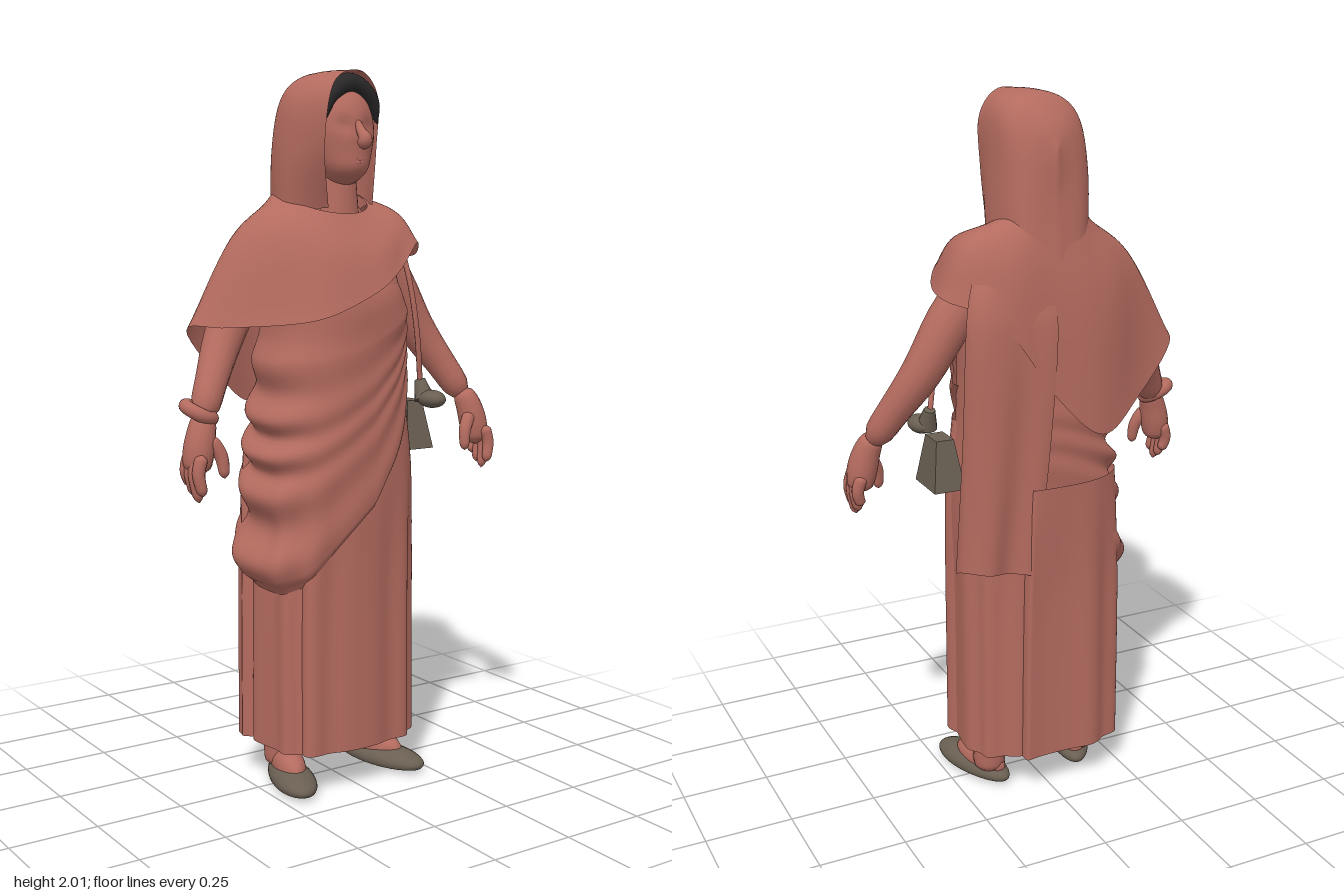
import * as THREE from 'three';
import { mergeVertices } from 'three/addons/utils/BufferGeometryUtils.js';

const V = (x, y, z) => new THREE.Vector3(x, y, z);
const mix = THREE.MathUtils.lerp;
const clamp = THREE.MathUtils.clamp;
const bell = (d, w) => Math.exp(-(d * d) / (w * w));

// Smooth lookup in rows keyed by their first number
function track(rows, t) {
  const n = rows.length - 1;
  let i = 0;
  while (i < n - 1 && t > rows[i + 1][0]) i++;
  const h = rows[i + 1][0] - rows[i][0];
  const s = clamp((t - rows[i][0]) / h, 0, 1);
  const slope = (k, c) => {
    const a = rows[Math.max(k - 1, 0)], b = rows[Math.min(k + 1, n)];
    return (b[c] - a[c]) / (b[0] - a[0]);
  };
  const s2 = s * s, s3 = s2 * s;
  return rows[i].map((_, c) => (2 * s3 - 3 * s2 + 1) * rows[i][c] + (s3 - 2 * s2 + s) * h * slope(i, c)
    + (3 * s2 - 2 * s3) * rows[i + 1][c] + (s3 - s2) * h * slope(i + 1, c));
}

// Smooth surface from fn(u, v) -> Vector3
function surface(fn, nu, nv) {
  const pos = [], idx = [];
  for (let j = 0; j <= nv; j++) for (let i = 0; i <= nu; i++) pos.push(...fn(i / nu, j / nv).toArray());
  for (let j = 0; j < nv; j++) for (let i = 0; i < nu; i++) {
    const a = j * (nu + 1) + i, d = a + nu + 1;
    idx.push(a, a + 1, d + 1, a, d + 1, d);
  }
  let g = new THREE.BufferGeometry();
  g.setAttribute('position', new THREE.Float32BufferAttribute(pos, 3));
  g.setIndex(idx);
  g = mergeVertices(g, 1e-5);
  g.computeVertexNormals();
  return g;
}

// Surface through several curves
function loft(loops, closed, nu, nv) {
  const curves = loops.map(l => new THREE.CatmullRomCurve3(l.map(p => V(...p)), closed, 'catmullrom', 0.5));
  const ribs = [];
  for (let i = 0; i <= nu; i++) {
    const u = closed ? (i % nu) / nu : i / nu;
    ribs.push(new THREE.CatmullRomCurve3(curves.map(c => c.getPoint(u))));
  }
  return surface((u, v) => ribs[Math.round(u * nu)].getPoint(v), nu, nv);
}

// Round limb through [x, y, z, radius] points, with rounded ends
function limb(pts, nu = 14, nv = 18) {
  const curve = new THREE.CatmullRomCurve3(pts.map(p => V(p[0], p[1], p[2])));
  const radii = pts.map((p, i) => [i / (pts.length - 1), p[3]]);
  return surface((u, v) => {
    const t = curve.getTangent(v), a = t.clone().cross(V(0, 0, 1)).normalize(), b = t.clone().cross(a);
    const end = Math.min(1, Math.sqrt(Math.max(0, Math.min(v, 1 - v)) * 8));
    const r = track(radii, v)[1] * end, ang = u * Math.PI * 2;
    return curve.getPoint(v).addScaledVector(a, r * Math.cos(ang)).addScaledVector(b, r * Math.sin(ang));
  }, nu, nv);
}

// Body sections: height, centre x, centre z, half width, half depth, squareness
const BODY = [
  [0.11, -0.005, 0, 0.222, 0.16, 3.2], [0.6, -0.005, 0, 0.222, 0.162, 3], [0.9, 0, 0, 0.218, 0.172, 2.7],
  [1.1, 0, 0, 0.197, 0.174, 2.5], [1.25, 0, 0.003, 0.19, 0.175, 2.4], [1.4, 0, 0.005, 0.188, 0.183, 2.2],
  [1.52, 0, -0.02, 0.175, 0.135, 2.1], [1.6, 0, -0.03, 0.13, 0.095, 2], [1.66, 0, -0.02, 0.07, 0.07, 2],
];
function body(deg, y, off = 0) {
  const [, cx, cz, rx, rz, n] = track(BODY, y);
  const a = deg * Math.PI / 180, s = Math.sin(a), c = Math.cos(a);
  const pleat = 0.006 * Math.cos(a * 11) * clamp((0.95 - y) * 3, 0, 1);
  const p = q => Math.sign(q) * Math.abs(q) ** (2 / n);
  return V(cx + (rx + off + pleat) * p(s), y, cz + (rz + off + pleat) * p(c));
}

// Lower edge of the wrapped drape by angle, and fold count by height along it
const EDGE = [[-260, 1.15], [-220, 0.95], [-180, 0.8], [-130, 0.66], [-90, 0.57], [-50, 0.585], [-30, 0.62],
  [-5, 0.73], [10, 0.86], [30, 0.99], [50, 1.11], [80, 1.2]];
const FOLDS = [[0, -0.45], [0.1, 0], [0.32, 1], [0.45, 2], [0.57, 3], [0.75, 4], [1, 5]];

// Shawl loops, starting at the front and turning toward +x
const HEM = [[0, 1.395, 0.207], [0.1, 1.455, 0.187], [0.2, 1.535, 0.135], [0.272, 1.5, 0.03], [0.285, 1.48, -0.1],
  [0.16, 1.42, -0.187], [0, 1.2, -0.197], [-0.14, 1.08, -0.195], [-0.27, 1.15, -0.15], [-0.42, 1.3, -0.08],
  [-0.35, 1.31, 0.04], [-0.17, 1.33, 0.185]];
const SHOULDER = [[0, 1.5, 0.172], [0.1, 1.55, 0.15], [0.175, 1.605, 0.085], [0.222, 1.625, -0.02], [0.215, 1.62, -0.11],
  [0.12, 1.57, -0.168], [0, 1.5, -0.18], [-0.12, 1.48, -0.18], [-0.21, 1.53, -0.14], [-0.275, 1.57, -0.05],
  [-0.225, 1.57, 0.06], [-0.12, 1.52, 0.145]];
const NECKLINE = SHOULDER.map((_, i) => {
  const a = i * Math.PI / 6;
  return [-0.018 + 0.128 * Math.sin(a), 1.665 - 0.05 * Math.cos(a), -0.02 + 0.125 * Math.cos(a)];
});

// Hood arches from the face opening to the back
const HOOD = [
  [[-0.075, 1.63, 0.1], [-0.12, 1.78, 0.15], [-0.115, 1.92, 0.167], [-0.05, 1.985, 0.125], [0.04, 1.997, 0.1],
    [0.1, 1.93, 0.085], [0.105, 1.8, 0.07], [0.085, 1.64, 0.08]],
  [[-0.155, 1.62, 0], [-0.16, 1.78, 0.02], [-0.14, 1.92, 0.02], [-0.07, 1.99, 0.01], [0.03, 2, 0],
    [0.1, 1.95, 0], [0.115, 1.8, 0], [0.12, 1.64, 0]],
  [[-0.14, 1.6, -0.09], [-0.145, 1.78, -0.08], [-0.125, 1.92, -0.07], [-0.07, 1.982, -0.06], [0.025, 1.988, -0.065],
    [0.09, 1.93, -0.075], [0.105, 1.78, -0.085], [0.11, 1.6, -0.1]],
  [[-0.1, 1.58, -0.15], [-0.1, 1.76, -0.135], [-0.085, 1.87, -0.125], [-0.05, 1.925, -0.12], [0.015, 1.93, -0.12],
    [0.055, 1.87, -0.125], [0.07, 1.76, -0.135], [0.075, 1.58, -0.155]],
  [1.57, 1.72, 1.81, 1.85, 1.85, 1.81, 1.72, 1.57].map(y => [-0.016, y, y < 1.6 ? -0.172 : -0.155]),
];

export function createModel() {
  const model = new THREE.Group();
  const material = (name, color) => new THREE.MeshStandardMaterial({ name, color, side: THREE.DoubleSide });
  const clay = material('terracotta', 0xb46b5f);
  const taupe = material('taupe', 0x6a5f52);
  const dark = material('charcoal', 0x2a2829);
  const add = (name, geo, mat = clay, parent = model) => {
    const m = new THREE.Mesh(geo, mat);
    m.name = name;
    parent.add(m);
    return m;
  };

  // Dress and overlapping skirt panels
  add('dress', surface((u, v) => body(u * 360, mix(0.11, 1.66, v)), 96, 50));
  const panel = (name, a, b, top, off) => add(name, surface((u, v) =>
    body(mix(a, b, u), mix(0.11, top, v), off * Math.min(1, u * 30, (1 - u) * 30)), 48, 16));
  panel('frontSkirtPanel', -45, 80, 1.1, 0.009);
  panel('backSkirtPanel', 165, 250, 0.95, 0.032);

  // Diagonal drape gathered on the right hip
  add('wrappedDrape', surface((u, v) => {
    const deg = mix(-260, 80, u), low = track(EDGE, deg)[1];
    const gather = 0.004 + mix(0.05, 0.03, Math.min(1, v * 3)) * bell(deg + 92, 42);
    const fold = gather * Math.cos(Math.PI * track(FOLDS, v)[1]) ** 2 * clamp((1 - v) * 2.5, 0, 1);
    const fade = Math.min(1, v * 30, (1 - v) * 4, u * 30 + 0.1);
    return body(deg, mix(low, 1.42, v), (0.014 + fold) * fade);
  }, 110, 80));

  // Shawl, hood and cloth falling down the back
  add('shawl', loft([HEM, SHOULDER, NECKLINE], true, 84, 24));
  add('hood', loft(HOOD, false, 48, 36));
  const FALL = [[0.7, 0.3, 0.06, -0.188], [1.1, 0.275, 0.02, -0.194], [1.4, 0.26, 0, -0.192],
    [1.5, 0.24, 0.01, -0.172], [1.58, 0.2, 0.03, -0.14]];
  add('hangingCloth', surface((u, v) => {
    const y = mix(0.735 - 0.04 * u, 1.58, v), [, right, left, z] = track(FALL, y);
    return V(mix(right, left, u), y, z + 0.008 * Math.sin(u * 12) * (1 - v) + 0.02 * bell(u, 0.15));
  }, 36, 30));

  // Head with eye hollows and a narrowed jaw
  const head = new THREE.SphereGeometry(1, 40, 32);
  const hp = head.attributes.position;
  for (let i = 0; i < hp.count; i++) {
    const x = hp.getX(i), y = hp.getY(i), z = hp.getZ(i);
    const jaw = y < 0 ? 1 + 0.15 * y : 1;
    const hollow = z > 0 ? 0.012 * (bell(x - 0.38, 0.22) + bell(x + 0.38, 0.22)) * bell(y - 0.12, 0.14) : 0;
    const chin = z > 0 ? 0.025 * bell(y + 0.75, 0.3) : 0;
    hp.setXYZ(i, x * 0.1 * jaw, 1.832 + y * 0.145, 0.03 + z * 0.108 - hollow + chin);
  }
  head.computeVertexNormals();
  add('head', head);
  add('neck', new THREE.CylinderGeometry(0.058, 0.075, 0.2, 24).translate(0, 1.65, 0.015));
  add('nose', limb([[0, 1.868, 0.125, 0.008], [0, 1.835, 0.146, 0.013], [0, 1.81, 0.168, 0.019], [0, 1.798, 0.145, 0.018]]));
  for (const y of [1.75, 1.76]) {
    add('lip', new THREE.SphereGeometry(1, 14, 10).scale(0.022, 0.006, 0.01).translate(0, y, 0.127));
  }
  add('hairBand', limb([[-0.088, 1.86, 0.1, 0.008], [-0.072, 1.925, 0.1, 0.021], [0, 1.967, 0.088, 0.027],
    [0.07, 1.93, 0.085, 0.023], [0.1, 1.86, 0.08, 0.01]], 14, 28), dark);

  for (const side of [1, -1]) {
    const limbGroup = new THREE.Group();
    limbGroup.name = side > 0 ? 'leftArm' : 'rightArm';
    model.add(limbGroup);
    const dz = side > 0 ? 0 : 0.04;
    const part = (name, pts) => add(name, limb(pts.map(([x, y, z, r]) =>
      [side * x, y, z + dz * clamp((1.4 - y) * 4, 0, 1), r])), clay, limbGroup);

    // Sleeve, palm, fingers and thumb
    part('sleeve', [[0.15, 1.54, -0.05, 0.055], [0.245, 1.43, -0.055, 0.063], [0.335, 1.28, -0.045, 0.055],
      [0.41, 1.16, -0.005, 0.044], [0.462, 1.065, 0.035, 0.04]]);
    part('palm', [[0.445, 1.1, 0.03, 0.028], [0.465, 1.05, 0.045, 0.038], [0.48, 0.99, 0.052, 0.042], [0.488, 0.93, 0.055, 0.034]]);
    for (let k = 0; k < 4; k++) {
      const z = 0.022 + k * 0.023, tip = [0.9, 0.875, 0.86, 0.88][k];
      part('finger', [[0.49, 0.99, z, 0.018], [0.503, 0.94, z + 0.003, 0.017], [0.492, tip, z + 0.008, 0.014]]);
    }
    part('thumb', [[0.455, 1.03, 0.065, 0.02], [0.427, 0.98, 0.078, 0.018], [0.42, 0.92, 0.086, 0.013]]);

    // Leg, instep and shoe
    add('leg', limb([[side * 0.12, 0.5, -0.02, 0.075], [side * 0.14, 0.2, -0.04, 0.058],
      [side * 0.146, 0.09, -0.045, 0.05], [side * 0.147, 0.015, -0.045, 0.045]]));
    const turn = geo => geo.rotateY(side * 0.28).translate(side * 0.16, 0, 0.033);
    add('instep', turn(new THREE.SphereGeometry(1, 20, 14).scale(0.045, 0.05, 0.1).translate(0, 0.04, -0.03)));
    const shoe = new THREE.SphereGeometry(1, 32, 20), sp = shoe.attributes.position;
    for (let i = 0; i < sp.count; i++) {
      const z = sp.getZ(i);
      sp.setXYZ(i, sp.getX(i) * 0.06 * (1 + 0.12 * z), Math.max(0, 0.014 + sp.getY(i) * 0.038), z * 0.15);
    }
    shoe.computeVertexNormals();
    add('shoe', turn(shoe), taupe);
  }
  const bracelet = add('bracelet', new THREE.TorusGeometry(0.038, 0.019, 14, 28).rotateX(Math.PI / 2));
  bracelet.position.set(-0.466, 1.095, 0.07);
  bracelet.rotation.set(0.25, 0, -0.4);

  // Handbag tapering upward, with a soft pouch and strap
  const bag = new THREE.CylinderGeometry(0.8, 1.414, 1, 4).rotateY(Math.PI / 4).toNonIndexed();
  bag.computeVertexNormals();
  add('handbag', bag.scale(0.046, 0.14, 0.07).translate(0.268, 1.005, 0), taupe);
  add('pouch', new THREE.SphereGeometry(1, 20, 14).scale(0.036, 0.026, 0.05).translate(0.28, 1.085, 0.105), taupe);
  add('pouchNeck', new THREE.CylinderGeometry(0.016, 0.03, 0.06, 14).rotateX(-0.4).translate(0.272, 1.11, 0.07), taupe);
  const strap = new THREE.CatmullRomCurve3([V(0.268, 1.13, 0.065), V(0.24, 1.28, 0.085), V(0.215, 1.43, 0.08), V(0.2, 1.54, 0.05)]);
  add('strap', new THREE.TubeGeometry(strap, 20, 0.008, 8));
  return model;
}
